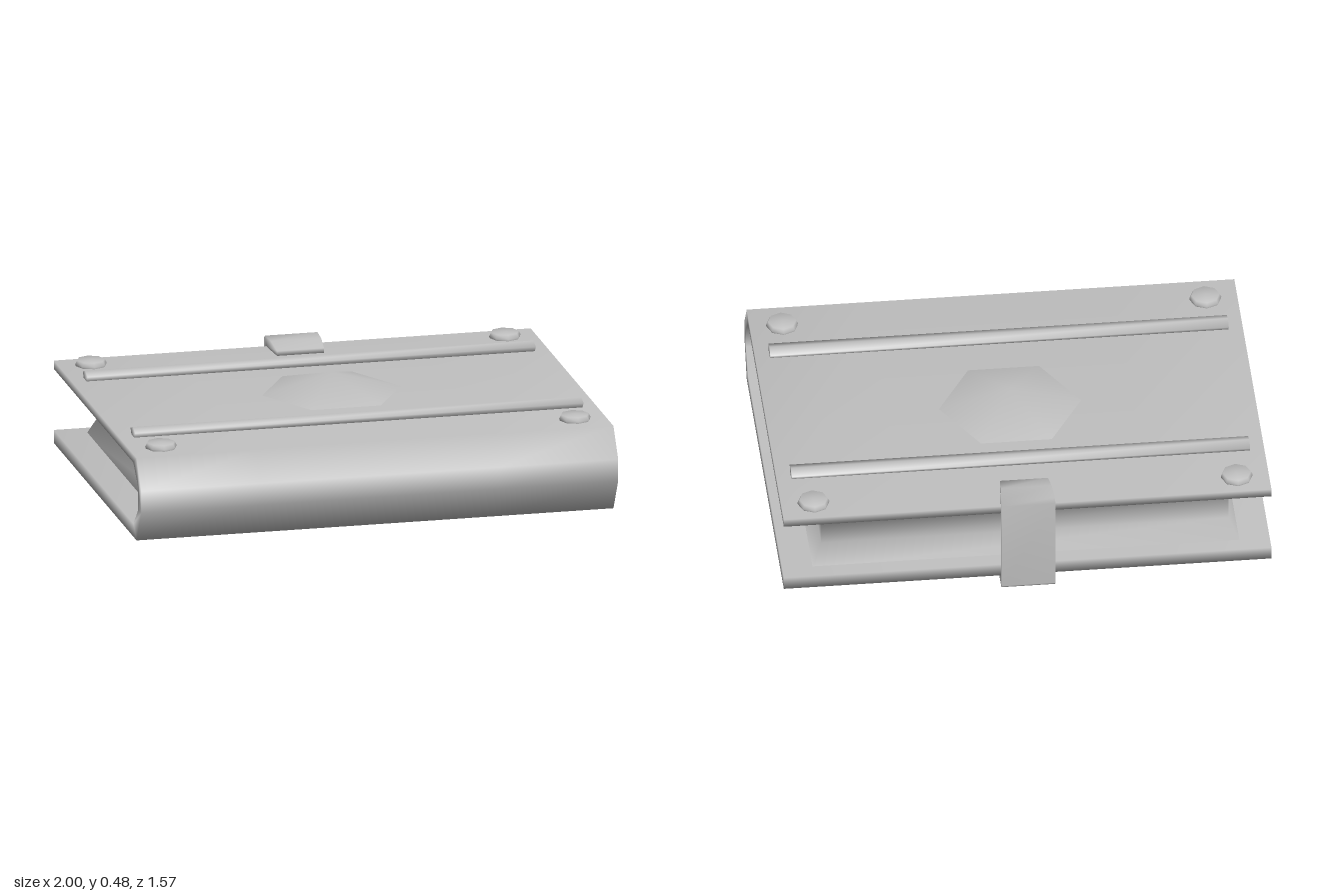
import * as THREE from 'three';
import { mergeVertices } from 'three/addons/utils/BufferGeometryUtils.js';

// Weld corners so the shading runs smoothly across the low-poly faces
function smooth(geometry) {
  geometry.deleteAttribute('uv');
  geometry.deleteAttribute('normal');
  const welded = mergeVertices(geometry, 1e-4);
  welded.computeVertexNormals();
  return welded;
}

// Extrude a [z, y] profile along x, centred on x = 0
function prism(profile, width, steps = 1) {
  const shape = new THREE.Shape(profile.map(([z, y]) => new THREE.Vector2(-z, y)));
  const g = new THREE.ExtrudeGeometry(shape, { depth: width, steps, bevelEnabled: false });
  g.rotateY(Math.PI / 2);
  g.translate(-width / 2, 0, 0);
  return g;
}

// Page block: rectangular rings stacked by height, pinched in the middle
function pageBlock() {
  // y, half width, back z, front z
  const rings = [
    [0.09, 0.88, -0.685, 0.64],
    [0.185, 0.835, -0.637, 0.732],
    [0.277, 0.835, -0.637, 0.732],
    [0.365, 0.88, -0.685, 0.64],
  ];
  const positions = [];
  const index = [];
  for (const [y, w, back, front] of rings) {
    positions.push(-w, y, front, w, y, front, w, y, back, -w, y, back);
  }
  for (let r = 0; r < rings.length - 1; r++) {
    for (let i = 0; i < 4; i++) {
      const a = r * 4 + i;
      const b = r * 4 + ((i + 1) % 4);
      index.push(a, b, b + 4, a, b + 4, a + 4);
    }
  }
  const g = new THREE.BufferGeometry();
  g.setAttribute('position', new THREE.Float32BufferAttribute(positions, 3));
  g.setIndex(index);
  g.computeVertexNormals();
  return g;
}

export function createModel() {
  const group = new THREE.Group();
  const grey = new THREE.MeshStandardMaterial({ color: 0xc0c0c0 });
  grey.name = 'plainGrey';

  const add = (name, geometry, x = 0, y = 0, z = 0) => {
    const mesh = new THREE.Mesh(geometry, grey);
    mesh.name = name;
    mesh.position.set(x, y, z);
    group.add(mesh);
    return mesh;
  };

  // Cover: one folded sheet with a chamfered spine at the front
  const coverProfile = [
    [-0.747, 0.395], [0.703, 0.395], [0.787, 0.277], [0.787, 0.185], [0.703, 0.045], [-0.747, 0.045],
    [-0.747, 0.1], [0.647, 0.1], [0.732, 0.185], [0.732, 0.277], [0.647, 0.36], [-0.747, 0.36],
  ];
  add('cover', smooth(prism(coverProfile, 2, 4)));

  add('pages', pageBlock());

  // Raised bands across the top cover
  const bandProfile = [
    [-0.021, 0.39], [-0.043, 0.418], [0, 0.433], [0.043, 0.418], [0.021, 0.39],
  ];
  for (const [name, z] of [['frontBand', 0.388], ['backBand', -0.447]]) {
    add(name, smooth(prism(bandProfile, 1.88)), 0, 0, z);
  }

  // Eight-sided corner studs
  const stud = smooth(new THREE.LatheGeometry([
    new THREE.Vector2(0.062, 0), new THREE.Vector2(0.066, 0.012),
    new THREE.Vector2(0.058, 0.028), new THREE.Vector2(0, 0.03),
  ], 8));
  for (const x of [-0.868, 0.868]) {
    for (const z of [-0.648, 0.578]) {
      add(`${z > 0 ? 'front' : 'back'}${x > 0 ? 'Left' : 'Right'}Stud`, stud, x, 0.391, z);
    }
  }

  // Shallow six-sided centre ornament
  const ornament = new THREE.ConeGeometry(0.295, 0.082, 6, 1, true);
  ornament.rotateY(Math.PI / 6);
  add('centreOrnament', smooth(ornament), 0, 0.435, -0.058);

  // Clasp strap wrapping the open edge, narrowing at its upper tip
  const claspProfile = [
    [-0.6, 0.393], [-0.6, 0.415], [-0.68, 0.435], [-0.765, 0.435], [-0.785, 0.42],
    [-0.785, 0.018], [-0.768, 0], [-0.66, 0], [-0.645, 0.015], [-0.645, 0.03],
    [-0.66, 0.038], [-0.748, 0.038], [-0.748, 0.396],
  ];
  const clasp = prism(claspProfile, 0.22);
  const p = clasp.attributes.position;
  for (let i = 0; i < p.count; i++) {
    if (p.getY(i) > 0.3 && p.getZ(i) > -0.74) {
      p.setX(i, p.getX(i) * (1 - 0.75 * (p.getZ(i) + 0.74)));
    }
  }
  add('clasp', smooth(clasp));

  return group;
}
